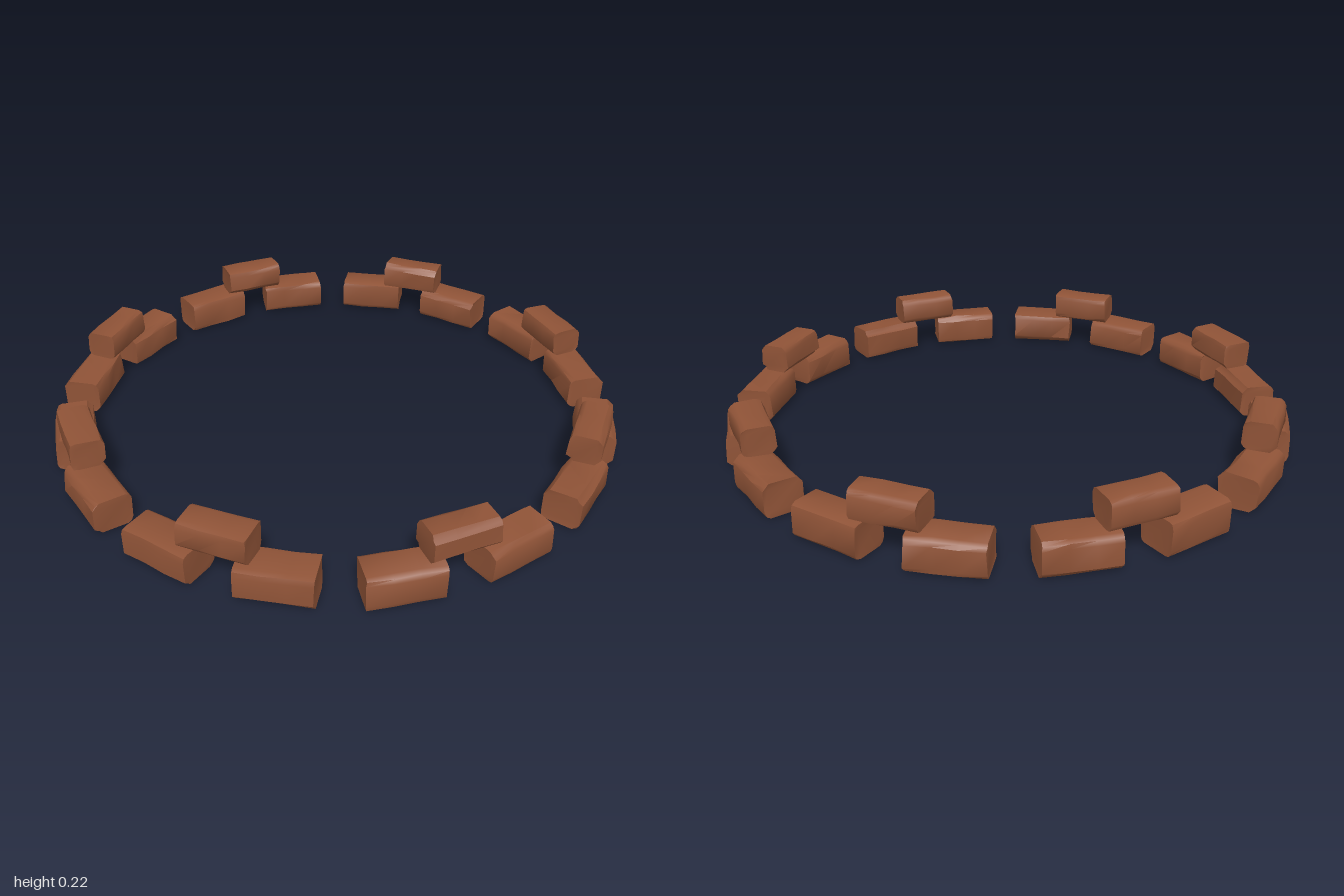
import * as THREE from 'three';
import { toCreasedNormals } from 'three/addons/utils/BufferGeometryUtils.js';

// Repeatable value in 0..1 for a point and a seed
function hash(x, y, z, seed) {
  const s = Math.sin(x * 127.1 + y * 311.7 + z * 74.7 + seed * 19.3) * 43758.5453;
  return s - Math.floor(s);
}

// Rough clay brick: box with softened long edges and small dents, base at y = 0
function brickGeometry(length, height, width, seed) {
  const geo = new THREE.BoxGeometry(1, 1, 1, 3, 3, 3);
  const pos = geo.attributes.position;
  const chamfer = 0.022;
  const grid = (v) => Math.round((v + 0.5) * 3); // 0..3
  const place = (i, size) => (i === 0 ? -size / 2 : i === 3 ? size / 2 : (i === 1 ? -1 : 1) * (size / 2 - chamfer));
  for (let n = 0; n < pos.count; n++) {
    const i = grid(pos.getX(n)), j = grid(pos.getY(n)), k = grid(pos.getZ(n));
    let x = (i / 3 - 0.5) * length;
    let y = place(j, height);
    let z = place(k, width);
    // pull the long edges in to make a chamfer of varying depth
    if (j % 3 === 0 && k % 3 === 0) {
      const cut = chamfer * (0.2 + 0.4 * hash(j, k, 1, seed));
      y -= Math.sign(y) * cut;
      z -= Math.sign(z) * cut;
    }
    // chips always go inwards, keeping the overall size
    x *= 1 - 0.05 * hash(i, j, k, seed);
    y *= 1 - 0.08 * hash(j, k, i, seed + 1);
    z *= 1 - 0.1 * hash(k, i, j, seed + 2);
    pos.setXYZ(n, x, y + height / 2, z);
  }
  return toCreasedNormals(geo, 0.7);
}

export function createModel() {
  const group = new THREE.Group();
  group.name = 'brickRing';
  const clay = new THREE.MeshStandardMaterial({ color: 0x8f5337 });
  clay.name = 'brick red';

  function addBrick(name, geo, degrees, radius, y) {
    const angle = THREE.MathUtils.degToRad(degrees);
    const mesh = new THREE.Mesh(geo, clay);
    mesh.name = name;
    mesh.position.set(Math.sin(angle) * radius, y, Math.cos(angle) * radius);
    mesh.rotation.y = angle;
    group.add(mesh);
  }

  // Lower course: sixteen evenly spaced bricks
  for (let i = 0; i < 16; i++) {
    addBrick('lowerBrick' + (i + 1), brickGeometry(0.248, 0.122, 0.138, i + 1), i * 22.5, 0.931, 0);
  }
  // Upper course: one smaller brick bridging each pair
  for (let i = 0; i < 8; i++) {
    addBrick('upperBrick' + (i + 1), brickGeometry(0.228, 0.105, 0.118, i + 31), 11.25 + i * 45, 0.918, 0.118);
  }
  return group;
}
